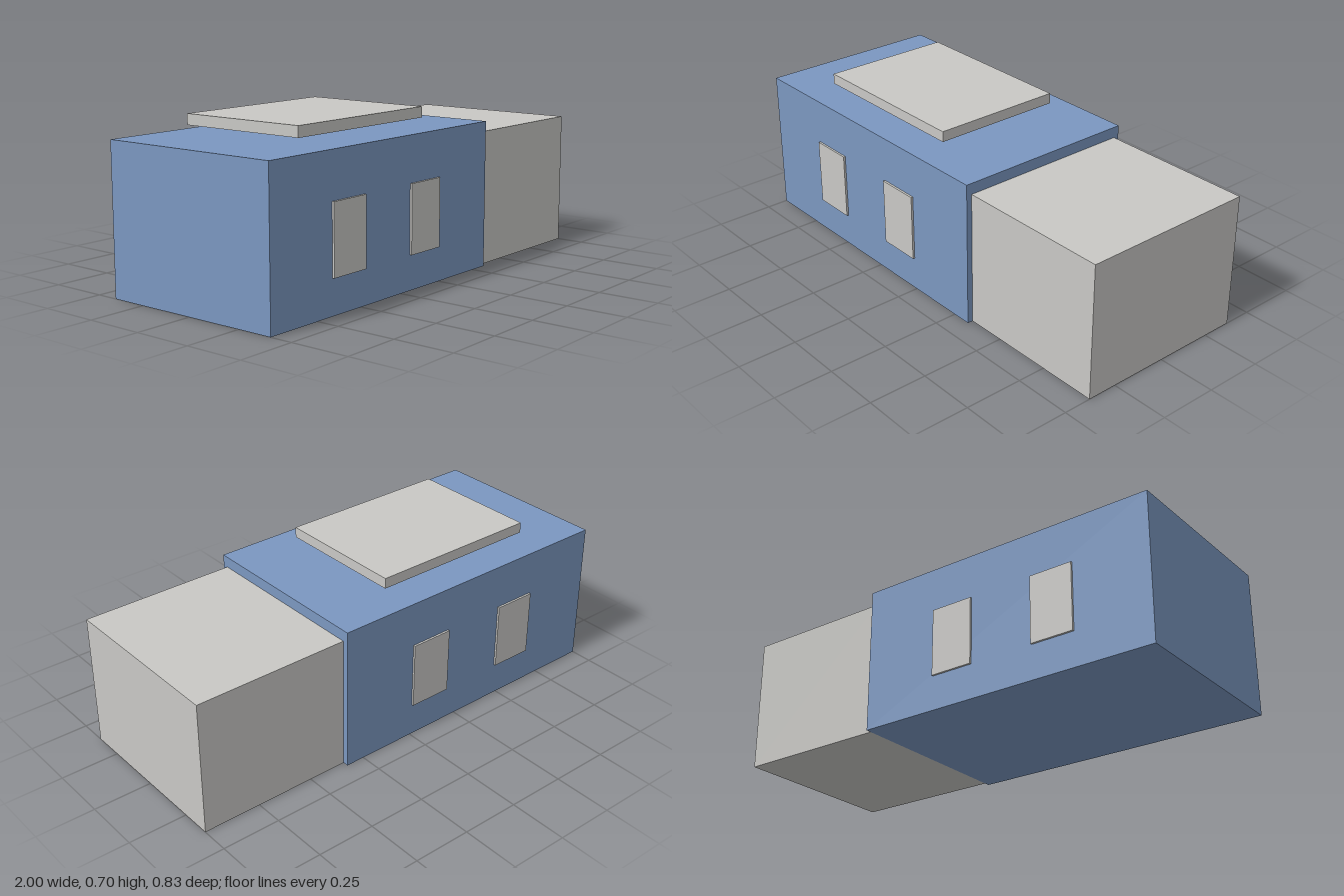
import * as THREE from 'three';

export function createModel() {
  const model = new THREE.Group();
  model.name = 'building';

  const blue = new THREE.MeshStandardMaterial({ color: 0x7b97c0 });
  blue.name = 'blue wall';
  const grey = new THREE.MeshStandardMaterial({ color: 0xc9c8c5 });
  grey.name = 'light grey';

  // Box given by its extents along each axis
  function box(name, material, [x0, x1], [y0, y1], [z0, z1]) {
    const mesh = new THREE.Mesh(new THREE.BoxGeometry(x1 - x0, y1 - y0, z1 - z0), material);
    mesh.position.set((x0 + x1) / 2, (y0 + y1) / 2, (z0 + z1) / 2);
    mesh.name = name;
    model.add(mesh);
  }

  // Main hall and lower annex
  box('mainHall', blue, [-1, 0.333], [0, 0.62], [-0.404, 0.404]);
  box('annex', grey, [0.333, 1], [0, 0.573], [-0.38, 0.38]);

  // Raised roof panel, hovering above the hall
  box('roofPanel', grey, [-0.714, 0.043], [0.655, 0.7], [-0.286, 0.286]);

  // Two windows on the front and two on the back
  for (const x of [-0.667, -0.195]) {
    box('frontWindow', grey, [x, x + 0.188], [0.145, 0.43], [0.405, 0.414]);
    box('backWindow', grey, [x, x + 0.188], [0.145, 0.43], [-0.414, -0.405]);
  }

  return model;
}
